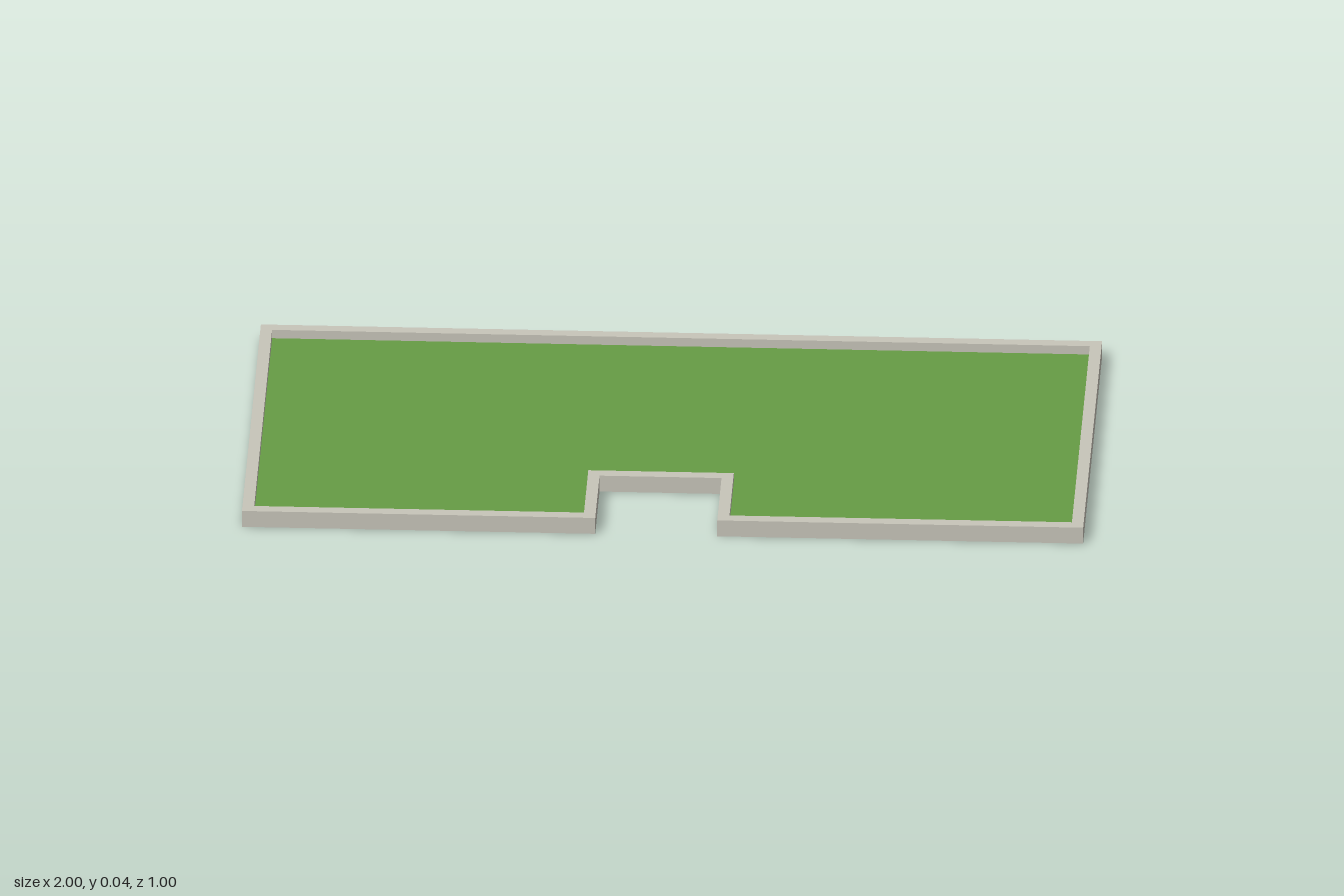
import * as THREE from 'three';

const HEIGHT = 0.042, GRASS_TOP = 0.02, RIM = 0.028;

// Plot corners with a notch in the front edge, moved inwards by d; shape y is -z
function plotOutline(d) {
  return [
    [-1 + d, -0.5 + d], [-0.16 - d, -0.5 + d], [-0.16 - d, -0.273 + d], [0.13 + d, -0.273 + d],
    [0.13 + d, -0.5 + d], [1 - d, -0.5 + d], [1 - d, 0.5 - d], [-1 + d, 0.5 - d],
  ].map(([x, y]) => new THREE.Vector2(x, y));
}

// Extrudes a plan shape upwards from y = bottom to y = top
function slab(shape, bottom, top, material, name) {
  const geometry = new THREE.ExtrudeGeometry(shape, { depth: top - bottom, bevelEnabled: false });
  geometry.rotateX(-Math.PI / 2).translate(0, bottom, 0);
  const mesh = new THREE.Mesh(geometry, material);
  mesh.name = name;
  return mesh;
}

export function createModel() {
  const concrete = new THREE.MeshStandardMaterial({ name: 'concrete', color: 0xc8c5ba });
  const grass = new THREE.MeshStandardMaterial({ name: 'grass', color: 0x669c45 });

  const group = new THREE.Group();
  group.name = 'lawn';

  // Raised curb following the whole outline
  const curbShape = new THREE.Shape(plotOutline(0));
  curbShape.holes.push(new THREE.Path(plotOutline(RIM)));
  group.add(slab(curbShape, 0, HEIGHT, concrete, 'curb'));

  // Base slab inside the curb, with the turf laid on it
  const inner = new THREE.Shape(plotOutline(RIM));
  group.add(slab(inner, 0, GRASS_TOP - 0.005, concrete, 'baseSlab'));
  group.add(slab(inner, GRASS_TOP - 0.005, GRASS_TOP, grass, 'turf'));

  return group;
}
